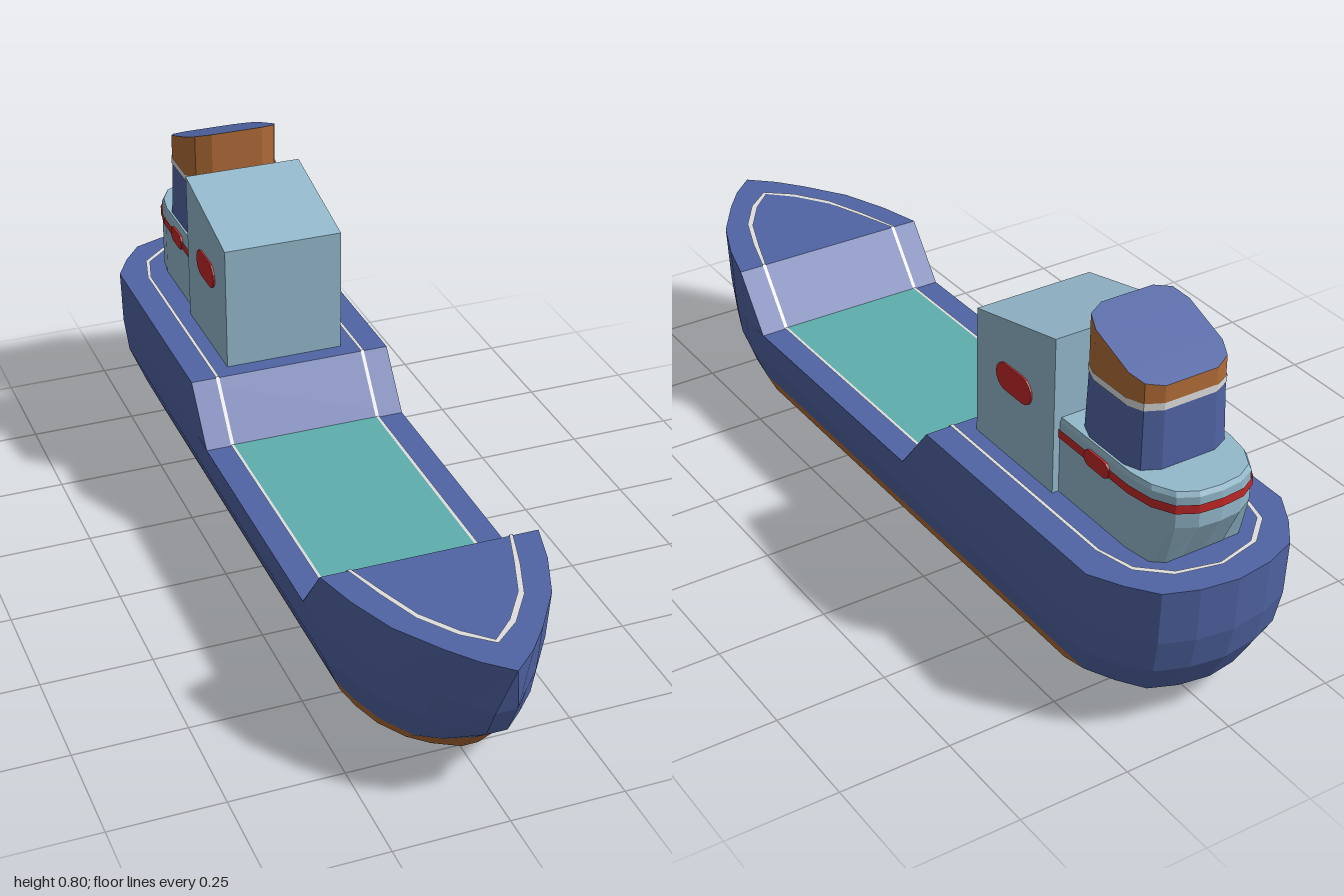
import * as THREE from 'three';

const mat = (name, color, side = THREE.FrontSide) => {
  const m = new THREE.MeshStandardMaterial({ color, side });
  m.name = name;
  return m;
};

// Flat-shaded skin through rings of [x, y, z] that run bow to stern on +x, then back on -x.
function loft(rings, { top = false, bottom = false } = {}) {
  const pos = [];
  const a = new THREE.Vector3(), b = new THREE.Vector3();
  const tri = (p, q, r) => {
    a.set(q[0] - p[0], q[1] - p[1], q[2] - p[2]);
    b.set(r[0] - p[0], r[1] - p[1], r[2] - p[2]);
    if (a.cross(b).lengthSq() > 1e-14) pos.push(...p, ...q, ...r);
  };
  const quad = (p, q, r, s) => { tri(p, q, r); tri(p, r, s); };
  const n = rings[0].length;
  for (let k = 0; k < rings.length - 1; k++) {
    for (let i = 0; i < n; i++) {
      const j = (i + 1) % n;
      quad(rings[k][i], rings[k][j], rings[k + 1][j], rings[k + 1][i]);
    }
  }
  // Caps are strips across the centreline
  const lo = rings[0], hi = rings[rings.length - 1];
  for (let i = 0; i < n / 2 - 1; i++) {
    if (top) quad(hi[i], hi[i + 1], hi[n - 2 - i], hi[n - 1 - i]);
    if (bottom) quad(lo[n - 1 - i], lo[n - 2 - i], lo[i + 1], lo[i]);
  }
  const g = new THREE.BufferGeometry();
  g.setAttribute('position', new THREE.Float32BufferAttribute(pos, 3));
  g.computeVertexNormals();
  return g;
}

const mirrorRing = (half) => [...half, ...half.map(([x, y, z]) => [-x, y, z]).reverse()];
// Ring from an [x, z] half outline and a height rule
const ring = (outline, yOf) =>
  mirrorRing(outline.map(([x, z]) => [x, typeof yOf === 'number' ? yOf : yOf(z), z]));

// Raised forecastle and poop with a sunken cargo deck between
function deckY(z) {
  if (z >= 0.58 || z <= -0.25) return 0.365;
  if (z > 0.48) return 0.24 + (z - 0.48) * 1.25;
  if (z < -0.15) return 0.24 + (-0.15 - z) * 1.25;
  return 0.24;
}

// Deck outline as [fraction of beam, z]
const STATIONS = [
  [0, 1], [0.23, 0.95], [0.43, 0.89], [0.71, 0.79], [0.89, 0.68], [1, 0.58], [1, 0.48],
  [1, -0.15], [1, -0.25], [1, -0.55], [1, -0.83], [0.84, -0.9], [0.65, -0.96], [0.35, -0.988], [0, -1],
];
const BLUNT = [0.1, 0.42, 0.64, 0.84, 0.95]; // fuller bow near the keel
const LIFT = [0.028, 0.012];                 // paint line rises at the stem

// Hull levels: y, half beam, bow z, stern z, bow bluntness
const LEVELS = [
  [0, 0.145, 0.73, -0.64, 1],
  [0.04, 0.18, 0.8, -0.81, 0.9],
  [0.08, 0.198, 0.86, -0.93, 0.7],
  [0.16, 0.23, 0.92, -0.975, 0.35],
  [0.24, 0.238, 0.96, -0.993, 0.15],
  [0.365, 0.24, 1, -1, 0],
];

function hullRing([y, half, bow, stern, blunt], level) {
  return mirrorRing(STATIONS.map(([f, z], i) => {
    const t = i === 0 && level < 5 ? 1 : blunt;
    const x = half * (i < BLUNT.length ? f + (BLUNT[i] - f) * t : f);
    let zz = z;
    if (z > 0.48) zz = 0.48 + (z - 0.48) * (bow - 0.48) / 0.52;
    if (z < -0.25) zz = -0.25 + (z + 0.25) * (stern + 0.25) / -0.75;
    const yy = level === 5 ? deckY(z) : y + (level === 2 ? LIFT[i] || 0 : 0);
    return [x, yy, zz];
  }));
}

// Long plate with rounded ends, facing sideways
function sidePill(halfLength, radius) {
  const s = new THREE.Shape();
  const c = halfLength - radius;
  s.absarc(c, 0, radius, -Math.PI / 2, Math.PI / 2);
  s.absarc(-c, 0, radius, Math.PI / 2, Math.PI * 1.5);
  const g = new THREE.ExtrudeGeometry(s, { depth: 0.008, bevelEnabled: false, curveSegments: 4 });
  return g.translate(0, 0, -0.004).rotateY(Math.PI / 2);
}

export function createModel() {
  const group = new THREE.Group();
  group.name = 'cargoShip';
  const blue = mat('hullBlue', 0x5064a4);
  const brown = mat('rustBrown', 0xb26c38);
  const pale = mat('paleBlue', 0x94b9cc);
  const teal = mat('deckTeal', 0x5eaeae);
  const white = mat('white', 0xdedede, THREE.DoubleSide);
  const red = mat('red', 0xc42828, THREE.DoubleSide);
  const add = (name, geometry, material, x = 0, y = 0, z = 0) => {
    const m = new THREE.Mesh(geometry, material);
    m.name = name;
    m.position.set(x, y, z);
    group.add(m);
  };

  // Hull
  const hull = LEVELS.map(hullRing);
  add('lowerHull', loft(hull.slice(0, 3), { bottom: true }), brown);
  add('upperHull', loft(hull.slice(2), { top: true }), blue);

  // Cargo deck and white line around the decks
  add('cargoDeck', new THREE.BoxGeometry(0.35, 0.006, 0.628), teal, 0, 0.24, 0.165);
  const line = [
    [0, 0.91], [0.06, 0.86], [0.115, 0.78], [0.152, 0.68], [0.182, 0.58], [0.182, 0.48],
    [0.182, -0.15], [0.182, -0.25], [0.182, -0.78], [0.16, -0.87], [0.1, -0.925], [0, -0.948],
  ];
  const inner = line.map(([x, z]) => [
    Math.max(0, x - 0.008), z > 0.6 ? z - 0.012 : z < -0.8 ? z + 0.008 : z,
  ]);
  const lineY = (z) => deckY(z) + 0.003;
  add('deckLine', loft([ring(line, lineY), ring(inner, lineY)]), white);

  // Wheelhouse with a roof rising aft
  const house = [[0.14, -0.29], [0.14, -0.57]];
  add('wheelhouse', loft([
    ring(house, 0.36),
    ring(house, (z) => 0.66 + (-0.29 - z) * 0.235),
  ], { top: true, bottom: true }), pale);

  // Aft cabin, undercut at the back
  const cabin = [
    [0.125, -0.56], [0.125, -0.8], [0.115, -0.86], [0.09, -0.905], [0.05, -0.927], [0, -0.932],
  ];
  const foot = cabin.map(([x, z]) => [x, Math.max(z, -0.88)]);
  const roof = cabin.map(([x, z]) => [x * 0.97, z < -0.8 ? z + 0.006 : z]);
  add('aftCabin', loft([
    ring(foot, 0.36), ring(cabin, 0.46), ring(cabin, 0.53), ring(roof, 0.54),
  ], { top: true, bottom: true }), pale);
  const stripe = cabin.map(([x, z]) => [x && x + 0.003, z < -0.6 ? z - 0.003 : z]);
  add('cabinStripe', loft([ring(stripe, 0.495), ring(stripe, 0.515)]), red);

  // Side windows
  for (const s of [1, -1]) {
    add('wheelhouseWindow', sidePill(0.063, 0.031), red, s * 0.14, 0.553, -0.43);
    add('cabinWindow', sidePill(0.042, 0.018), red, s * 0.126, 0.505, -0.7);
  }

  // Funnel: chamfered column with a raked top
  const funnel = (grow) => [
    [0, -0.607], [0.062, -0.607], [0.098, -0.624], [0.112, -0.66],
    [0.112, -0.768], [0.098, -0.802], [0.062, -0.82], [0, -0.82],
  ].map(([x, z]) => [x * (1 + grow), -0.7135 + (z + 0.7135) * (1 + grow)]);
  const rake = (z) => 0.804 - (-0.607 - z) * 0.37;
  add('funnelBase', loft([ring(funnel(0.04), 0.535), ring(funnel(0), 0.675)]), blue);
  add('funnelBand', loft([ring(funnel(0.015), 0.672), ring(funnel(0.015), 0.688)]), white);
  add('funnelTop', loft([ring(funnel(0), 0.675), ring(funnel(0), rake)]), brown);
  const lid = ring(funnel(0), rake);
  add('funnelCap', loft([lid, lid], { top: true }), blue);

  return group;
}
